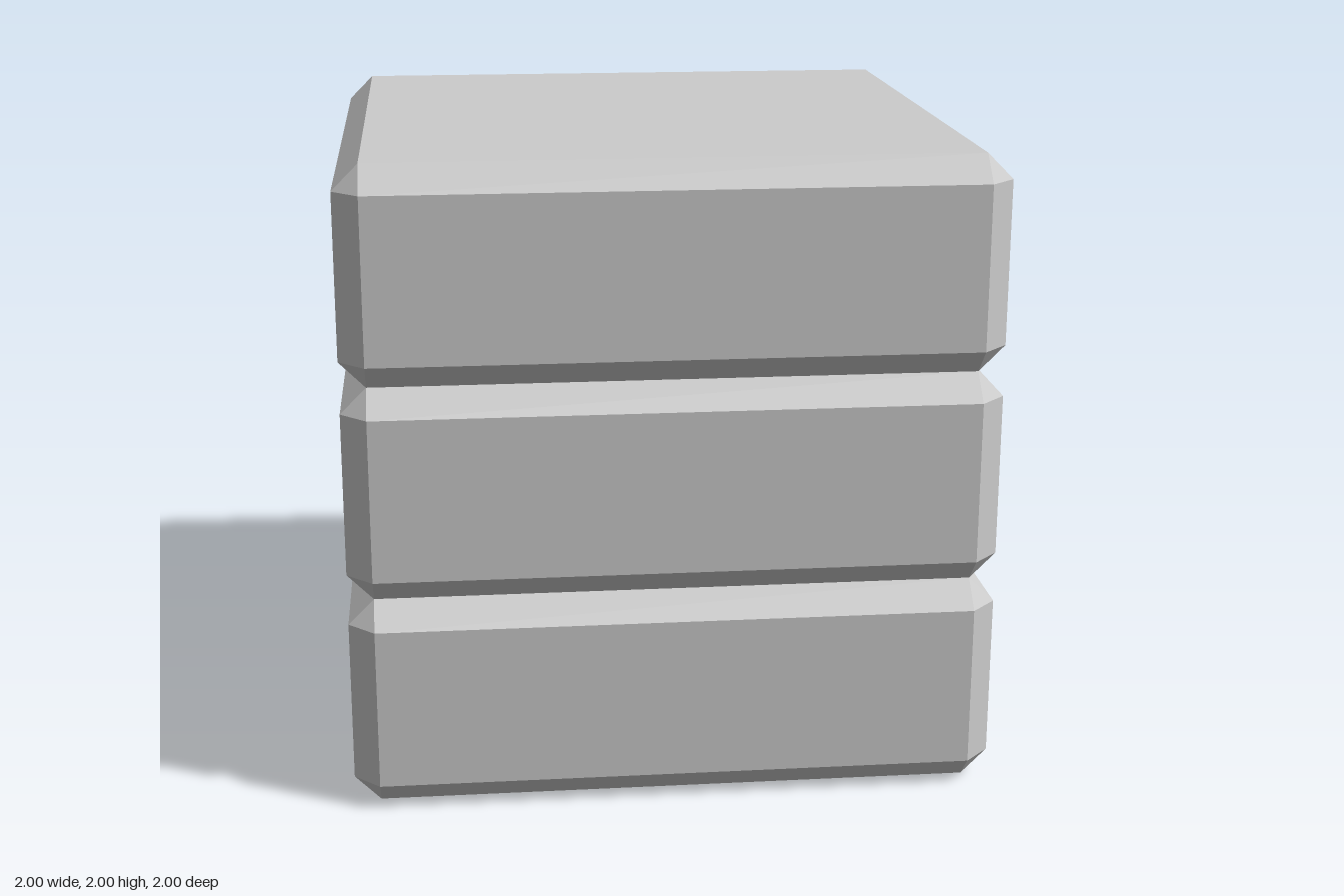
import * as THREE from 'three';
import { ConvexGeometry } from 'three/addons/geometries/ConvexGeometry.js';

const SIDE = 2, LAYERS = 3, HEIGHT = SIDE / LAYERS, BEVEL = 0.08;

// Box with flat 45-degree bevels: each corner becomes three points, one per face
function chamferedBox(width, height, depth, bevel) {
  const points = [];
  const half = new THREE.Vector3(width / 2, height / 2, depth / 2);
  for (const sx of [-1, 1]) for (const sy of [-1, 1]) for (const sz of [-1, 1]) {
    for (const outer of ['x', 'y', 'z']) {
      const p = half.clone().subScalar(bevel);
      p[outer] = half[outer];
      points.push(p.multiply(new THREE.Vector3(sx, sy, sz)));
    }
  }
  return new ConvexGeometry(points);
}

export function createModel() {
  const group = new THREE.Group();
  group.name = 'slabStack';
  const material = new THREE.MeshStandardMaterial({ color: 0xcccccc, flatShading: true });
  const geometry = chamferedBox(SIDE, HEIGHT, SIDE, BEVEL);

  // Three equal slabs resting on one another
  ['bottomSlab', 'middleSlab', 'topSlab'].forEach((name, i) => {
    const slab = new THREE.Mesh(geometry, material);
    slab.name = name;
    slab.position.y = HEIGHT * (i + 0.5);
    group.add(slab);
  });
  return group;
}
